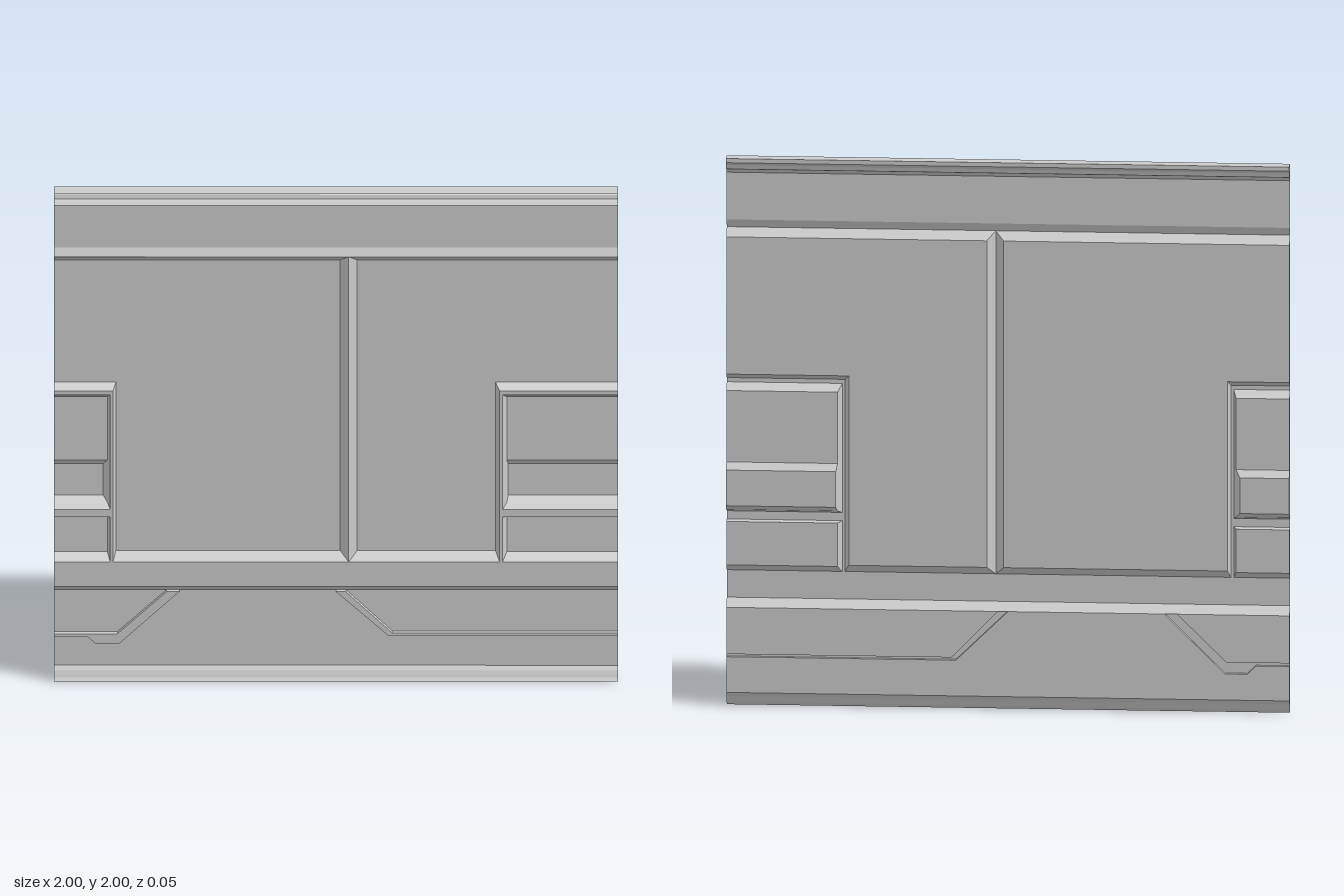
import * as THREE from 'three';

const FRONT = 0.025, PANEL = -0.005, DEEP = -0.025;

export function createModel() {
  const group = new THREE.Group();
  const grey = new THREE.MeshStandardMaterial({ color: 0xcccccc, side: THREE.DoubleSide });
  grey.name = 'plainGrey';

  function addMesh(name, geometry) {
    const mesh = new THREE.Mesh(geometry, grey);
    mesh.name = name;
    group.add(mesh);
  }

  // Flat-shaded quads, each given as four corners [x, y, z]
  function addQuads(name, quads) {
    const pos = [];
    for (const [a, b, c, d] of quads) pos.push(...a, ...b, ...c, ...a, ...c, ...d);
    const g = new THREE.BufferGeometry();
    g.setAttribute('position', new THREE.Float32BufferAttribute(pos, 3));
    g.computeVertexNormals();
    addMesh(name, g);
  }

  const rect = (x0, x1, y0, y1) => [[x0, y0], [x1, y0], [x1, y1], [x0, y1]];
  const toShape = (loop) => new THREE.Shape(loop.map((p) => new THREE.Vector2(...p)));

  // Flat sheet bounded by a loop at depth z
  function plate(name, loop, z) {
    addMesh(name, new THREE.ShapeGeometry(toShape(loop)).translate(0, 0, z));
  }

  // Bevel joining two loops with matching corners at different depths
  function bevel(name, outer, inner, zOuter, zInner) {
    addQuads(name, outer.map((p, i) => {
      const j = (i + 1) % outer.length;
      return [[...p, zOuter], [...outer[j], zOuter], [...inner[j], zInner], [...inner[i], zInner]];
    }));
  }

  // Recessed bay: bevelled rim plus a flat floor
  function bay(name, outer, inner, zOuter = FRONT, zInner = PANEL) {
    bevel(name + 'Rim', outer, inner, zOuter, zInner);
    plate(name + 'Floor', inner, zInner);
  }

  // Full-width moulding swept from [z, y] points, with end caps
  function moulding(name, profile, skip = -1) {
    const quads = [];
    for (let i = 0; i < profile.length - 1; i++) {
      if (i === skip) continue;
      const [z0, y0] = profile[i], [z1, y1] = profile[i + 1];
      quads.push([[-1, y0, z0], [1, y0, z0], [1, y1, z1], [-1, y1, z1]]);
    }
    addQuads(name, quads);
    for (const side of [-1, 1]) {
      const cap = new THREE.ShapeGeometry(toShape(profile));
      cap.rotateY(-Math.PI / 2).translate(side, 0, 0);
      addMesh(name + 'EndCap', cap);
    }
  }

  // Stepped cornice along the top
  moulding('cornice', [[FRONT, 1.74], [0.01, 1.77], [0.01, 1.942], [0, 1.955], [-0.008, 1.958],
    [-0.012, 1.973], [DEEP, 1.985], [DEEP, 2], [FRONT, 2]]);

  // Skirting along the bottom; its flat face is made from the plates below
  moulding('skirting', [[FRONT, 0], [0.016, 0.012], [0.012, 0.022], [0.006, 0.035],
    [PANEL, 0.05], [PANEL, 0.36], [FRONT, 0.39]], 4);
  plate('lowerPanel', [[-1, 0.05], [1, 0.05], [1, 0.18], [0.185, 0.18], [0, 0.36], [-0.555, 0.36],
    [-0.77, 0.145], [-0.85, 0.145], [-0.88, 0.175], [-1, 0.175]], PANEL);
  plate('lowerPanelLeftTop', [[-1, 0.187], [-0.775, 0.187], [-0.6, 0.36], [-1, 0.36]], PANEL);
  plate('lowerPanelRightTop', [[0.035, 0.36], [0.2, 0.19], [1, 0.19], [1, 0.36]], PANEL);

  // Narrow raised trim lines across the lower panel
  const trims = [
    [[-1, 0.175], [-0.88, 0.175], [-0.85, 0.145], [-0.77, 0.145], [-0.555, 0.36],
      [-0.6, 0.36], [-0.775, 0.187], [-1, 0.187]],
    [[0, 0.36], [0.185, 0.18], [1, 0.18], [1, 0.19], [0.2, 0.19], [0.035, 0.36]],
  ];
  for (const t of trims) bay('trimLine', t, t, PANEL, 0.01);

  // Rail between the skirting and the main bays
  plate('rail', rect(-1, 1, 0.39, 0.49), FRONT);

  // Two main bays, mitred against the centre ridge and around the insets
  bay('mainBayLeft',
    [[-1, 1.19], [-0.79, 1.19], [-0.79, 0.49], [0.045, 0.49], [0.045, 1.74], [-1, 1.74]],
    [[-1, 1.21], [-0.78, 1.21], [-0.78, 0.52], [0.015, 0.52], [0.015, 1.71], [-1, 1.71]]);
  bay('mainBayRight',
    [[0.045, 0.49], [0.58, 0.49], [0.58, 1.19], [1, 1.19], [1, 1.74], [0.045, 1.74]],
    [[0.075, 0.52], [0.565, 0.52], [0.565, 1.21], [1, 1.21], [1, 1.71], [0.075, 1.71]]);

  // Inset at each end: frame, stepped window and lower box
  const insets = [
    { name: 'leftInset', side: -1, ridge: 0.79, edge: 0.80, inner: 0.81, deep: 0.825 },
    { name: 'rightInset', side: 1, ridge: 0.58, edge: 0.59, inner: 0.605, deep: 0.61 },
  ];
  for (const { name, side, ridge, edge, inner, deep } of insets) {
    const box = (x, y0, y1) => (side > 0 ? rect(x, 1, y0, y1) : rect(-1, -x, y0, y1));
    plate(name + 'TopRail', box(ridge, 1.175, 1.19), FRONT);
    plate(name + 'Post', side > 0 ? rect(ridge, edge, 0.49, 1.175) : rect(-edge, -ridge, 0.49, 1.175), FRONT);
    plate(name + 'Shelf', box(edge, 0.675, 0.705), FRONT);
    bevel(name + 'WindowRim', box(edge, 0.705, 1.175), box(inner, 0.717, 1.15), FRONT, PANEL);
    plate(name + 'WindowFloor', box(inner, 0.89, 1.15), PANEL);
    bay(name + 'Pocket', box(inner, 0.717, 0.89), box(deep, 0.735, 0.865), PANEL, DEEP);
    bay(name + 'LowerBox', box(edge, 0.49, 0.675), box(inner, 0.515, 0.673));
  }
  return group;
}
